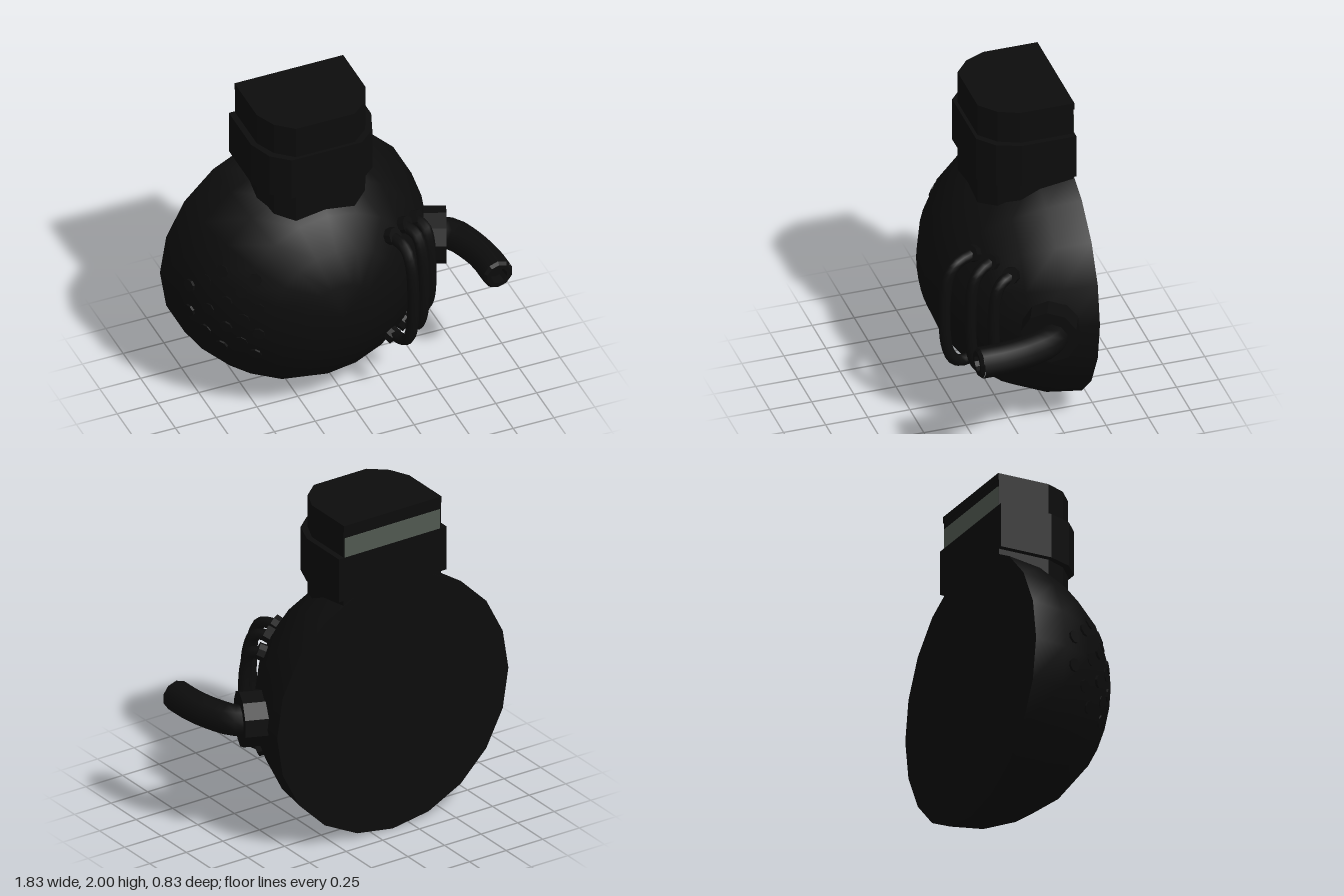
import * as THREE from 'three';

const CX = -0.13, CY = 0.79, BACK = -0.41, R = 0.79;
const dark = new THREE.MeshStandardMaterial({ color: 0x0c0c0c });
const darkFlat = new THREE.MeshStandardMaterial({ color: 0x0c0c0c, flatShading: true });
const panel = new THREE.MeshStandardMaterial({ color: 0x505850 });
const V = (x, y, z) => new THREE.Vector3(x, y, z);

function add(parent, name, geometry, material = dark) {
  const mesh = new THREE.Mesh(geometry, material);
  mesh.name = name;
  parent.add(mesh);
  return mesh;
}

// Cylinder centred on a point with its axis along a direction
function rod(parent, name, centre, dir, radius, length, sides, material = darkFlat) {
  const mesh = add(parent, name, new THREE.CylinderGeometry(radius, radius, length, sides), material);
  mesh.position.copy(centre);
  mesh.quaternion.setFromUnitVectors(V(0, 1, 0), dir.clone().normalize());
  return mesh;
}

// Plan outline of the neck: flat back, bevelled front corners
function neckShape(grow, growFront, back) {
  const half = [[0.333 + grow, back], [0.333 + grow, -0.09], [0.28 + grow, 0.03 + growFront], [0.18 + grow, 0.115 + growFront]];
  const right = half.map(([x, z]) => new THREE.Vector2(CX + x, -z));
  const left = half.map(([x, z]) => new THREE.Vector2(CX - x, -z)).reverse();
  return new THREE.Shape([...right, ...left]);
}

function upright(shape, y0, y1) {
  return new THREE.ExtrudeGeometry(shape, { depth: y1 - y0, bevelEnabled: false })
    .rotateX(-Math.PI / 2).translate(0, y0, 0);
}

// Point on the dome in front of a given x and y
function onDome(x, y, r = R) {
  const dx = x - CX, dy = y - CY;
  return V(x, y, BACK + Math.sqrt(Math.max(0, r * r - dx * dx - dy * dy)));
}
const domeNormal = (p) => p.clone().sub(V(CX, CY, BACK)).normalize();

export function createModel() {
  const model = new THREE.Group();
  model.name = 'halfRoundTank';

  // Half-sphere body with a flat back
  add(model, 'domeBody', new THREE.SphereGeometry(R, 20, 6, 0, Math.PI * 2, 0, Math.PI / 2)
    .rotateX(Math.PI / 2).translate(CX, CY, BACK));
  add(model, 'backPlate', new THREE.CircleGeometry(R, 20).rotateY(Math.PI).translate(CX, CY, BACK));

  // Neck, collar band and slotted cap
  const neck = new THREE.Group();
  neck.name = 'neck';
  model.add(neck);
  add(neck, 'neckColumn', upright(neckShape(0, 0, -0.405), 1.3, 1.97), darkFlat);
  add(neck, 'neckBand', upright(neckShape(0.035, 0.02, BACK), 1.53, 1.8), darkFlat);
  const capShape = neckShape(0, 0, BACK);
  for (let i = -2; i <= 2; i++) {
    const x = CX + i * 0.078, w = 0.011;
    capShape.holes.push(new THREE.Path([
      new THREE.Vector2(x - w, 0.02), new THREE.Vector2(x - w, 0.33),
      new THREE.Vector2(x + w, 0.33), new THREE.Vector2(x + w, 0.02),
    ]));
  }
  add(neck, 'slottedCap', upright(capShape, 1.96, 2), darkFlat);
  add(neck, 'backStrip', new THREE.BoxGeometry(0.65, 0.12, 0.01).translate(CX, 1.86, -0.404), panel);

  // Side spout: faceted fitting, bent pipe and hollow mouth
  const spout = new THREE.Group();
  spout.name = 'spout';
  model.add(spout);
  rod(spout, 'spoutFitting', V(0.632, 0.795, -0.125), V(0.92, 0, 0.38), 0.165, 0.15, 10);
  const path = new THREE.CatmullRomCurve3([
    V(0.62, 0.795, -0.16), V(0.73, 0.795, -0.09), V(0.79, 0.795, 0.05), V(0.82, 0.795, 0.2), V(0.825, 0.795, 0.355),
  ]);
  add(spout, 'spoutPipe', new THREE.TubeGeometry(path, 10, 0.091, 10));
  const mouth = [[0.091, 0], [0.075, 0.018], [0.05, 0.018], [0.045, -0.04], [0, -0.04]]
    .map(([r, h]) => new THREE.Vector2(r, h)).reverse();
  add(spout, 'spoutMouth', new THREE.LatheGeometry(mouth, 10).rotateX(Math.PI / 2).translate(0.825, 0.795, 0.355),
    new THREE.MeshStandardMaterial({ color: 0x0c0c0c, flatShading: true, side: THREE.DoubleSide }));

  // Three upright bars bowed out from the dome
  const bars = [
    { foot: 0.235, h: 0.345, tip: [0.287, 0.372] },
    { foot: 0.34, h: 0.34, tip: [0.4, 0.26] },
    { foot: 0.445, h: 0.295, tip: [0.49, 0.155] },
  ];
  for (const { foot, h, tip: [tx, tz] } of bars) {
    const bar = new THREE.Group();
    bar.name = 'guardBar';
    model.add(bar);
    const half = (s) => {
      const p = onDome(foot, CY + s * h);
      const bend = V(p.x + (tx - p.x) * 0.75, CY + s * (h - 0.02), p.z + (tz - p.z) * 0.65);
      return [p, bend, V(tx, CY + s * (h - 0.12), tz)];
    };
    const top = half(1), bottom = half(-1);
    const curve = new THREE.CatmullRomCurve3([...top, ...bottom.slice().reverse()]);
    add(bar, 'barTube', new THREE.TubeGeometry(curve, 24, 0.034, 8));
    for (const [p] of [top, bottom]) rod(bar, 'barFoot', p, domeNormal(p), 0.05, 0.07, 8);
  }

  // Staggered round vents on the other side
  const vents = new THREE.Group();
  vents.name = 'vents';
  model.add(vents);
  for (let row = -3; row <= 3; row++) {
    const xs = row % 2 ? [-0.85, -0.72, -0.58] : [-0.79, -0.65];
    for (const x of xs) {
      const y = CY + row * 0.086;
      if (Math.hypot(x - CX, y - CY) > 0.76) continue;
      const p = onDome(x, y, 0.775);
      rod(vents, 'vent', p, domeNormal(p), 0.038, 0.03, 8);
    }
  }
  return model;
}
